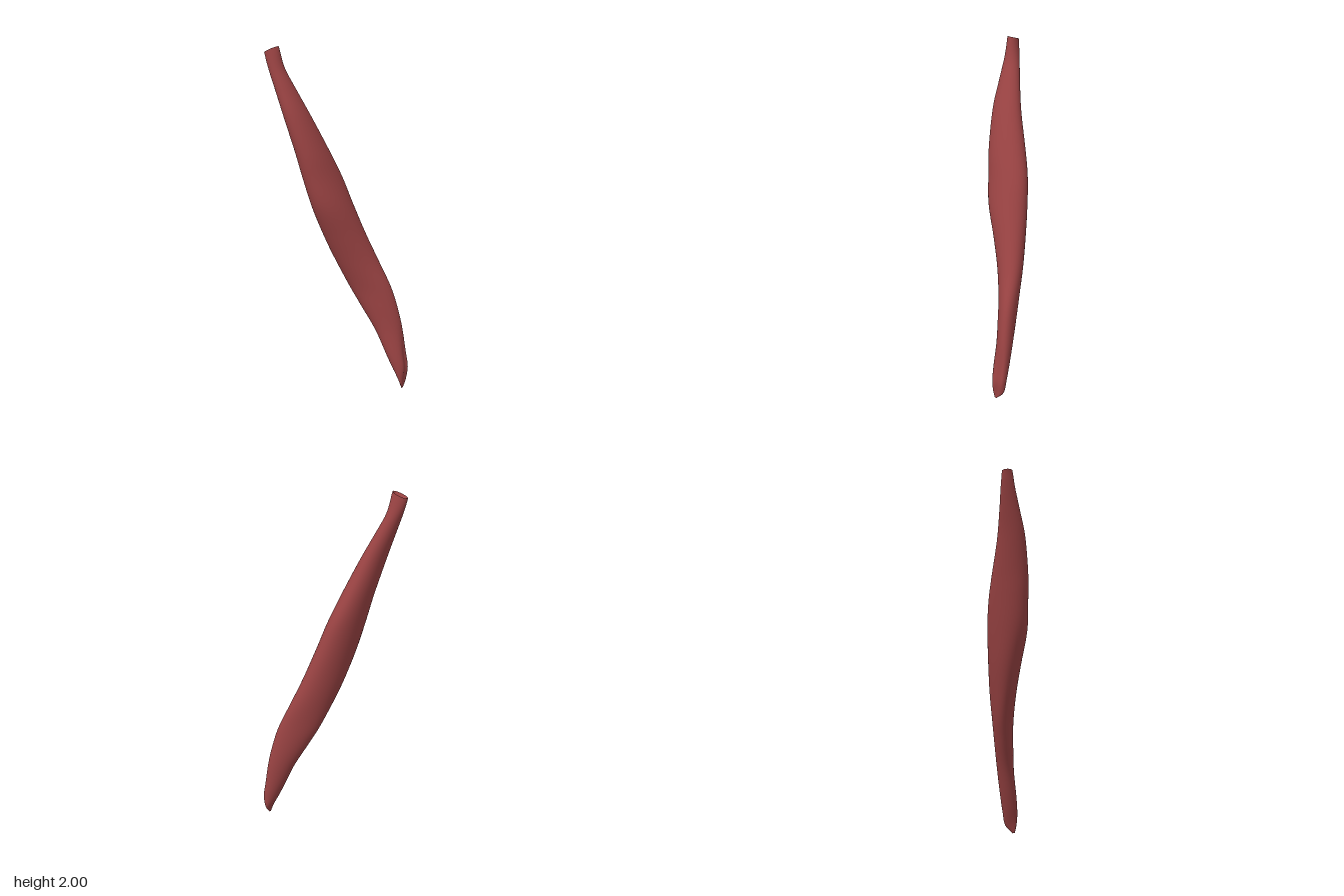
import * as THREE from 'three';

// Horizontal sections from top to bottom: y, x min, x max, z min, z max, diagonal skew
const SECTIONS = [
  [1.97, -0.38, -0.29, 0.15, 0.207, -0.1],
  [1.88, -0.355, -0.265, 0.125, 0.213, -0.1],
  [1.75, -0.31, -0.2, 0.085, 0.217, -0.1],
  [1.6, -0.26, -0.125, 0.035, 0.219, -0.1],
  [1.4, -0.205, -0.04, -0.04, 0.2, -0.1],
  [1.25, -0.168, 0.015, -0.09, 0.178, -0.18],
  [1.08, -0.125, 0.075, -0.122, 0.145, -0.22],
  [0.9, -0.073, 0.137, -0.152, 0.078, -0.36],
  [0.75, -0.018, 0.197, -0.178, 0.02, -0.48],
  [0.6, 0.045, 0.265, -0.195, -0.035, -0.54],
  [0.48, 0.11, 0.303, -0.206, -0.066, -0.52],
  [0.34, 0.19, 0.336, -0.215, -0.095, -0.45],
  [0.2, 0.255, 0.364, -0.215, -0.108, -0.3],
  [0.12, 0.293, 0.377, -0.213, -0.118, -0.2],
  [0.05, 0.33, 0.366, -0.203, -0.13, 0],
  [0, 0.353, 0.358, -0.16, -0.145, 0],
];
const SIDES = 40;
const STEPS = 90;

// Smooth skin through a list of closed rings, ordered from top to bottom
function loft(rings) {
  const positions = [], index = [];
  rings.forEach((ring) => ring.forEach((p) => positions.push(p.x, p.y, p.z)));
  for (let i = 0; i < rings.length - 1; i++) {
    for (let j = 0; j < SIDES; j++) {
      const k = (j + 1) % SIDES;
      const a = i * SIDES + j, b = a + SIDES;
      const c = (i + 1) * SIDES + k, d = i * SIDES + k;
      index.push(a, b, c, a, c, d);
    }
  }
  const geometry = new THREE.BufferGeometry();
  geometry.setAttribute('position', new THREE.Float32BufferAttribute(positions, 3));
  geometry.setIndex(index);
  geometry.computeVertexNormals();
  return geometry;
}

const spline = (pick) =>
  new THREE.CatmullRomCurve3(SECTIONS.map((s) => new THREE.Vector3(...pick(s))), false, 'catmullrom', 0.5);

function bodyRings() {
  const xCurve = spline((s) => [s[1], s[0], s[2]]);
  const zCurve = spline((s) => [s[3], s[5], s[4]]);
  const rings = [];
  for (let i = 0; i <= STEPS; i++) {
    const px = xCurve.getPoint(i / STEPS), pz = zCurve.getPoint(i / STEPS);
    const y = px.y;
    const cx = (px.x + px.z) / 2, rx = (px.z - px.x) / 2;
    const cz = (pz.x + pz.z) / 2, rz = (pz.z - pz.x) / 2;
    const phase = Math.acos(pz.y);
    const hollow = 0.4 * (1 - THREE.MathUtils.smoothstep(y, 0.05, 0.4));
    const ring = [];
    for (let j = 0; j < SIDES; j++) {
      const t = (j / SIDES) * Math.PI * 2;
      // A groove hollows the outer face of the lower tendon
      const groove = hollow * Math.exp(-Math.pow(Math.sin(t / 2) / 0.22, 2));
      // The upper rim is cut on a slant
      const lift = THREE.MathUtils.smoothstep(y, 1.85, 1.97) * (0.012 + 0.018 * Math.cos(t));
      ring.push(new THREE.Vector3(
        cx + rx * (Math.cos(t) - groove),
        y + lift,
        cz + rz * Math.cos(t + phase)
      ));
    }
    rings.push(ring);
  }
  return rings;
}

// Rings shrinking towards the middle of the rim, sunk into a cup
function cupRings(rim) {
  const centre = rim.reduce((sum, p) => sum.add(p), new THREE.Vector3()).divideScalar(SIDES);
  return [0.02, 0.3, 0.6, 0.85, 1].map((s) => rim.map((p) => {
    const q = centre.clone().lerp(p, s);
    q.y -= 0.03 * (1 - s * s);
    return q;
  }));
}

export function createModel() {
  const group = new THREE.Group();
  group.name = 'muscle';
  const material = new THREE.MeshStandardMaterial({ color: 0x9a4343, side: THREE.DoubleSide });
  const add = (name, geometry) => {
    const mesh = new THREE.Mesh(geometry, material);
    mesh.name = name;
    group.add(mesh);
  };

  const rings = bodyRings();
  add('muscleBelly', loft(rings));
  add('upperTendonEnd', loft(cupRings(rings[0])));
  // Small closing face at the lower tip
  const tip = rings[STEPS];
  const middle = tip.reduce((sum, p) => sum.add(p), new THREE.Vector3()).divideScalar(SIDES);
  add('lowerTendonTip', loft([tip, tip.map(() => middle.clone())]));
  return group;
}
